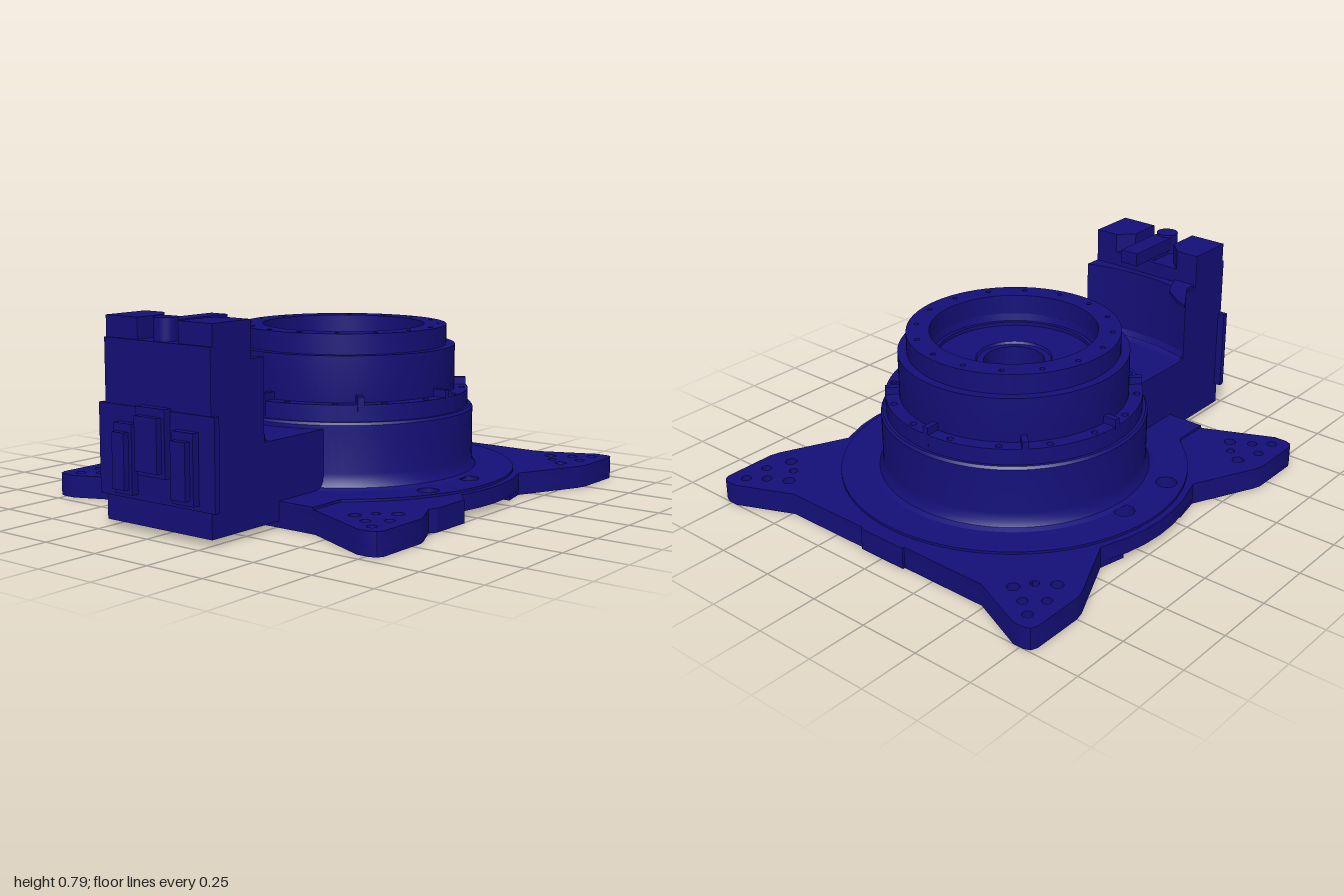
import * as THREE from 'three';
import { toCreasedNormals } from 'three/addons/utils/BufferGeometryUtils.js';

const CX = 0.145; // turret axis
const material = new THREE.MeshStandardMaterial({ color: 0x14107a, side: THREE.DoubleSide });

export function createModel() {
  const model = new THREE.Group();
  const add = (name, geometry, x = 0, y = 0, z = 0) => {
    const mesh = new THREE.Mesh(toCreasedNormals(geometry, 0.5), material);
    mesh.name = name;
    mesh.position.set(x, y, z);
    model.add(mesh);
    return mesh;
  };
  // Box given by its limits
  const box = (name, x0, x1, y0, y1, z0, z1) =>
    add(name, new THREE.BoxGeometry(x1 - x0, y1 - y0, z1 - z0), (x0 + x1) / 2, (y0 + y1) / 2, (z0 + z1) / 2);
  // Horizontal slab from a plan outline; holes are [x, z, radius]
  const slab = (name, shape, y0, y1, holes = []) => {
    for (const [x, z, r] of holes) shape.holes.push(new THREE.Path().absarc(x, -z, r, 0, Math.PI * 2, true));
    const g = new THREE.ExtrudeGeometry(shape, { depth: y1 - y0, bevelEnabled: false, curveSegments: 32 });
    return add(name, g.rotateX(-Math.PI / 2), 0, y0, 0);
  };
  const outline = (pts) => new THREE.Shape(pts.map(([x, z]) => new THREE.Vector2(x, -z)));
  const flipZ = (pts) => pts.map(([x, z]) => [x, -z]).reverse();
  const lathe = (name, pts) =>
    add(name, new THREE.LatheGeometry([...pts, pts[0]].map(([r, y]) => new THREE.Vector2(r, y)), 96), CX);
  const ringHoles = (n, radius, r, offset) => Array.from({ length: n }, (_, i) => {
    const a = ((i + offset) / n) * Math.PI * 2;
    return [CX + radius * Math.cos(a), radius * Math.sin(a), r];
  });
  const ring = (radius) => new THREE.Shape().absarc(CX, 0, radius, 0, Math.PI * 2);

  // Base plate outline, back half
  const rightFoot = [[0.9, -0.49], [1, -0.72], [1, -0.765], [0.99, -0.79], [0.965, -0.8], [0.75, -0.8], [0.71, -0.79], [0.44, -0.665]];
  const leftFoot = [[-0.16, -0.665], [-0.42, -0.79], [-0.45, -0.8], [-0.67, -0.8], [-0.695, -0.788], [-0.705, -0.76], [-0.705, -0.71], [-0.58, -0.43]];
  const backArc = [[0.32, -0.705], [0.23, -0.72], [0.145, -0.725], [0.06, -0.72], [-0.03, -0.705]];
  const backHalf = [...rightFoot, ...backArc, ...leftFoot];

  // Mounting holes of the feet
  const footHoles = { '-1': [], '1': [] };
  for (const sx of [-1, 1]) for (const sz of [-1, 1]) {
    for (const [x, z, r] of [[0.79, 0.73, 0.02], [0.685, 0.73, 0.02], [0.585, 0.695, 0.024],
      [0.74, 0.665, 0.02], [0.63, 0.63, 0.017], [0.695, 0.585, 0.024]]) footHoles[sx].push([CX + sx * x, sz * z, r]);
  }
  const bigHoles = (x) => [[x, -0.585, 0.042], [x, 0.585, 0.042]];
  const bore = [CX, 0, 0.5];
  slab('basePlate', outline([...backHalf, ...flipZ(backHalf)]), 0.025, 0.09,
    [...footHoles[-1], ...footHoles[1], ...bigHoles(-0.09), ...bigHoles(0.19), bore]);

  // Lower pads under each pair of feet, cut back to the bore
  for (const s of [-1, 1]) {
    const half = s > 0 ? [[0.33, -0.69], ...rightFoot.slice().reverse()] : [[-0.04, -0.69], ...leftFoot];
    const shape = outline([...half, ...flipZ(half)]);
    const a = Math.acos(0.185 / 0.5);
    if (s > 0) shape.absarc(CX, 0, 0.5, -a, a, false);
    else shape.absarc(CX, 0, 0.5, Math.PI + a, Math.PI - a, true);
    slab('footPad', shape, 0, 0.025, s > 0 ? footHoles[1] : [...footHoles[-1], ...bigHoles(-0.09)]);
  }
  box('sideTab', 0.89, 0.91, 0, 0.09, -0.11, 0.105);
  slab('frontLug', outline([[-0.34, 0.72], [-0.28, 0.755], [-0.1, 0.755], [-0.04, 0.7], [-0.14, 0.66], [-0.2, 0.66]]), 0, 0.09);

  // Raised machined face, extended towards the arm
  const b = Math.asin(0.46 / 0.7);
  const face = new THREE.Shape().absarc(CX, 0, 0.7, -Math.PI + b, Math.PI - b);
  face.lineTo(-0.42, 0.42).lineTo(-0.58, 0.42).lineTo(-0.58, -0.42).lineTo(-0.42, -0.42);
  slab('raisedFace', face, 0.09, 0.1, [...bigHoles(-0.09), ...bigHoles(0.19), bore]);

  // Turret: lower drum, bolted flange, upper drum and rim
  lathe('lowerDrum', [[0.5, 0.05], [0.565, 0.1], [0.545, 0.108], [0.533, 0.13], [0.53, 0.16], [0.53, 0.345], [0.522, 0.355], [0.503, 0.355]]);
  slab('boltFlange', ring(0.51), 0.35, 0.42, [...ringHoles(16, 0.485, 0.013, 0.5), [CX, 0, 0.44]]);
  lathe('upperDrum', [[0.445, 0.36], [0.455, 0.42], [0.455, 0.6], [0.33, 0.6], [0.325, 0.57], [0.31, 0.57], [0.31, 0.555],
    [0.15, 0.555], [0.145, 0.545], [0.12, 0.545], [0.12, 0.44], [0.15, 0.44], [0.15, 0.5], [0.38, 0.5], [0.42, 0.46], [0.43, 0.36]]);
  slab('topRim', ring(0.42), 0.6, 0.68, [...ringHoles(16, 0.385, 0.01, 0.5), [CX, 0, 0.33]]);

  // Stiffening ribs inside the drum
  for (let i = 0; i < 8; i++) {
    const g = new THREE.BoxGeometry(0.1, 0.4, 0.025).translate(0.46, 0.25, 0);
    add('innerRib', g, CX).rotation.y = (i * Math.PI) / 4;
  }

  // Hollow arm, open below
  const arm = outline([[-0.94, 0.26], [-0.94, -0.26]]);
  const c = Math.asin(0.26 / 0.52);
  arm.absarc(CX, 0, 0.52, Math.PI - c, Math.PI + c);
  slab('armTop', arm, 0.3, 0.33);
  for (const s of [-1, 1]) {
    const zs = [s * 0.26, s * 0.235].sort((p, q) => p - q);
    box('armSide', -0.94, -0.58, 0.025, 0.3, ...zs);
    box('armSide', -0.58, -0.31, 0.09, 0.3, ...zs);
  }
  box('armEnd', -0.94, -0.915, 0.025, 0.3, -0.235, 0.235);

  // Column with a scooped inner face and a fillet at its foot
  const column = outline([[-0.94, 0.26], [-0.94, -0.26]]);
  const d = Math.asin(0.26 / 0.846);
  column.absarc(CX, 0, 0.846, Math.PI - d, Math.PI + d);
  slab('column', column, 0.33, 0.64);
  const fillet = [[0.812, 0.33], [0.82, 0.332], [0.836, 0.342], [0.846, 0.365]].map(([r, y]) => new THREE.Vector2(r, y));
  add('columnFillet', new THREE.LatheGeometry(fillet, 12, -Math.PI / 2 - d, 2 * d), CX);

  // Column head
  box('columnHead', -0.94, -0.73, 0.64, 0.7, -0.26, 0.26);
  for (const s of [-1, 1]) {
    slab('headBlock', outline([[-0.93, s * 0.26], [-0.73, s * 0.26], [-0.73, s * 0.16], [-0.79, s * 0.1], [-0.93, s * 0.1]]), 0.7, 0.78);
  }
  add('headPost', new THREE.CylinderGeometry(0.045, 0.045, 0.085, 32), -0.885, 0.7425, 0);
  box('headBar', -0.86, -0.605, 0.72, 0.775, -0.04, 0.04);
  box('headBarFoot', -0.86, -0.75, 0.7, 0.72, -0.03, 0.03);
  slab('pointedBracket', outline([[-0.76, -0.14], [-0.76, -0.25], [-0.68, -0.25], [-0.525, -0.345], [-0.55, -0.29], [-0.62, -0.2]]), 0.637, 0.65);

  // Connector panel on the outer end
  box('connectorPanel', -0.945, -0.92, 0.12, 0.46, -0.29, 0.28);
  for (const [z, w, y0, y1] of [[-0.14, 0.09, 0.14, 0.4], [0.155, 0.1, 0.14, 0.4], [0, 0.14, 0.22, 0.47]]) {
    box('connectorBase', -0.975, -0.94, y0, y1, z - w / 2, z + w / 2);
    box('connectorCap', -1, -0.975, y0 + 0.02, y1 - 0.03, z - w / 2 + 0.015, z + w / 2 - 0.015);
  }
  return model;
}
